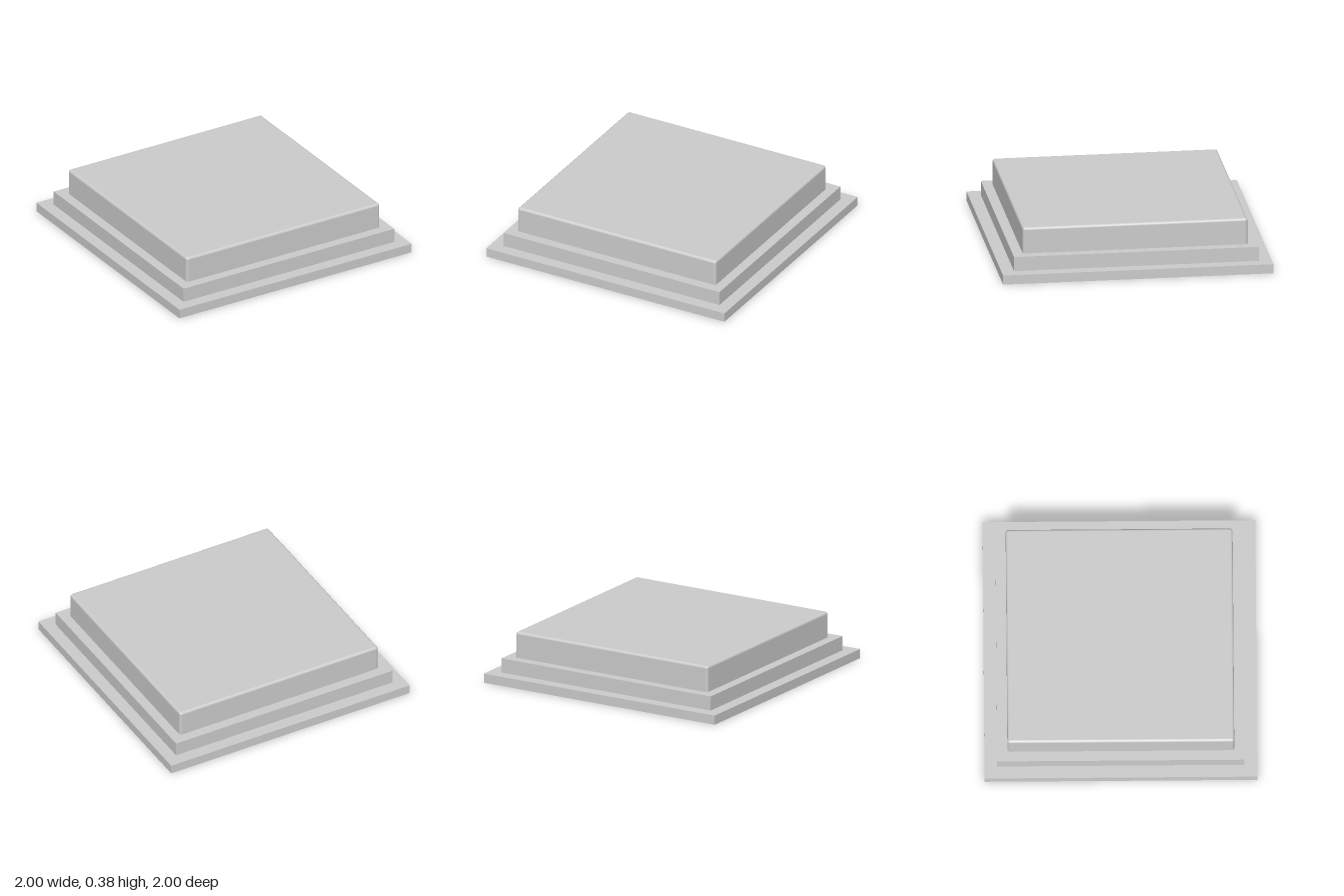
import * as THREE from 'three';
import { RoundedBoxGeometry } from 'three/addons/geometries/RoundedBoxGeometry.js';

export function createModel() {
  const group = new THREE.Group();
  const material = new THREE.MeshStandardMaterial({ color: 0xcccccc });

  // Adds one square tier spanning bottom..top, with optional rounded edges
  function addTier(name, width, bottom, top, radius = 0) {
    const height = top - bottom;
    const geometry = radius
      ? new RoundedBoxGeometry(width, height, width, 4, radius)
      : new THREE.BoxGeometry(width, height, width);
    const mesh = new THREE.Mesh(geometry, material);
    mesh.name = name;
    mesh.position.y = (bottom + top) / 2;
    group.add(mesh);
  }

  addTier('basePlate', 2, 0, 0.07);
  addTier('middleStep', 1.814, 0.07, 0.178);
  // Cushion-edged slab, sunk so its lower rounding is hidden in the step
  addTier('topSlab', 1.664, 0.155, 0.375, 0.02);

  return group;
}
